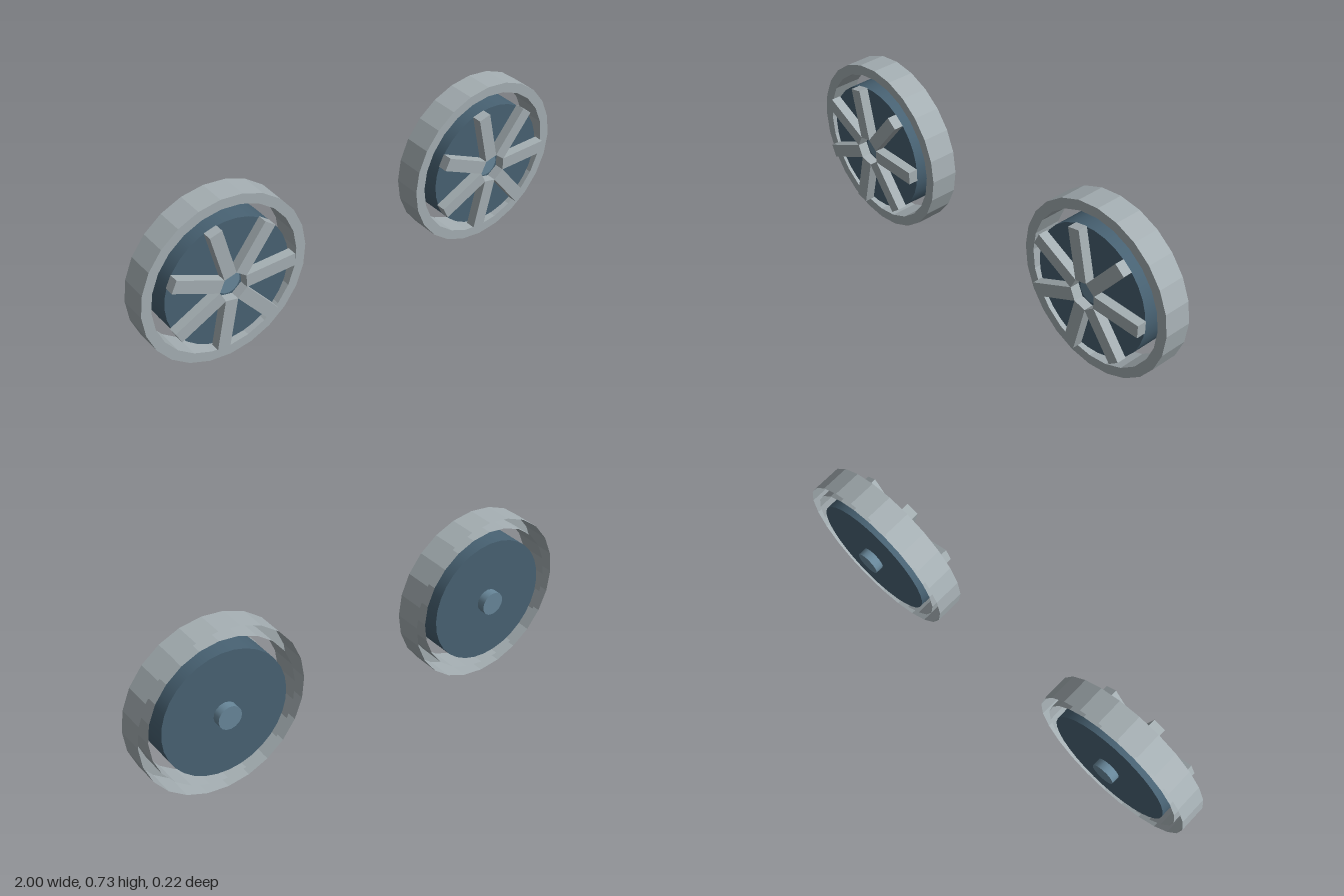
import * as THREE from 'three';

const RADIUS = 0.3625;
const CENTRE_X = 0.6375;

const rimGrey = new THREE.MeshStandardMaterial({ color: 0xa5afb3, flatShading: true, side: THREE.DoubleSide });
rimGrey.name = 'rim grey';
const discBlue = new THREE.MeshStandardMaterial({ color: 0x486273 });
discBlue.name = 'dark slate blue';
const axleBlue = new THREE.MeshStandardMaterial({ color: 0x68879a });
axleBlue.name = 'light slate blue';

function addMesh(parent, name, geometry, material) {
  const mesh = new THREE.Mesh(geometry, material);
  mesh.name = name;
  parent.add(mesh);
  return mesh;
}

// Cylinder lying along z between two depths
function zCylinder(radius, z0, z1, sides) {
  return new THREE.CylinderGeometry(radius, radius, z1 - z0, sides)
    .rotateX(Math.PI / 2)
    .translate(0, 0, (z0 + z1) / 2);
}

function createWheel() {
  const wheel = new THREE.Group();

  // Outer rim: outer wall, front face and inner wall, hollow at the back
  const profile = [[0.32, -0.062], [0.32, 0.055], [RADIUS, 0.055], [RADIUS, -0.062]]
    .map(([r, z]) => new THREE.Vector2(r, z));
  addMesh(wheel, 'rim', new THREE.LatheGeometry(profile, 24).rotateX(Math.PI / 2), rimGrey);

  // Solid disc and the axle through it
  addMesh(wheel, 'disc', zCylinder(0.272, -0.073, 0.067, 32), discBlue);
  addMesh(wheel, 'axle', zCylinder(0.051, -0.108, 0.07, 16), axleBlue);

  // Seven spokes standing on the front of the disc
  const inner = 0.056, outer = 0.275;
  const spoke = new THREE.BoxGeometry(outer - inner, 0.055, 0.041)
    .translate((inner + outer) / 2, 0, 0.0895);
  for (let i = 0; i < 7; i++) {
    addMesh(wheel, 'spoke', spoke, rimGrey).rotation.z = (i * Math.PI * 2) / 7;
  }
  return wheel;
}

export function createModel() {
  const model = new THREE.Group();
  model.name = 'wheelPair';
  for (const side of [-1, 1]) {
    const wheel = createWheel();
    wheel.name = side > 0 ? 'leftWheel' : 'rightWheel';
    wheel.position.set(side * CENTRE_X, RADIUS, 0);
    model.add(wheel);
  }
  return model;
}
